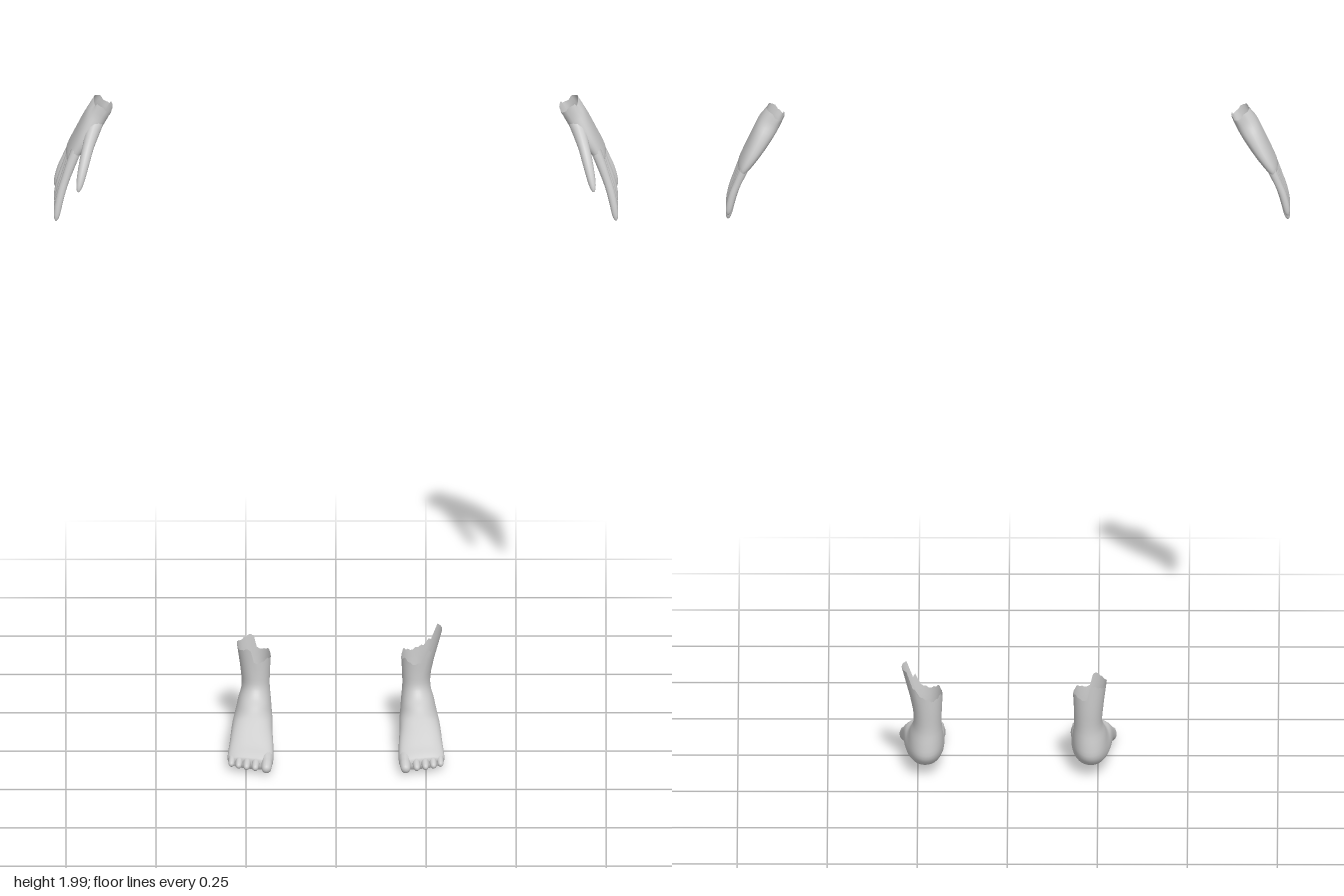
import * as THREE from 'three';

const V = (x, y, z) => new THREE.Vector3(x, y, z);
const skin = new THREE.MeshStandardMaterial({ color: 0xcccccc, side: THREE.DoubleSide });

// Rounded cross-section: exponent below 1 makes it boxier
function ring(centre, u, v, n, power = 1) {
  const round = (t) => Math.sign(t) * Math.pow(Math.abs(t), power);
  return Array.from({ length: n }, (_, j) => {
    const a = (j / n) * Math.PI * 2;
    return centre.clone().addScaledVector(u, round(Math.cos(a))).addScaledVector(v, round(Math.sin(a)));
  });
}

// Smooth skin over matching rings, open at the start and closed at the end
function loft(name, rings, side, sub = 3) {
  const n = rings[0].length;
  const rows = (rings.length - 1) * sub + 1;
  const columns = rings[0].map((_, j) => new THREE.CatmullRomCurve3(rings.map((r) => r[j])));
  const pts = [];
  for (let i = 0; i < rows; i++) for (let j = 0; j < n; j++) pts.push(columns[j].getPoint(i / (rows - 1)));
  const end = V(0, 0, 0);
  pts.slice(-n).forEach((p) => end.addScaledVector(p, 1 / n));
  pts.push(end);
  pts.forEach((p) => { p.x *= side; });

  const faces = [];
  for (let j = 0; j < n; j++) {
    const k = (j + 1) % n;
    for (let i = 0; i < rows - 1; i++) {
      const a = i * n + j, b = i * n + k;
      faces.push([a, b, a + n], [b, b + n, a + n]);
    }
    faces.push([(rows - 1) * n + j, (rows - 1) * n + k, pts.length - 1]);
  }
  // Turn the faces outward, whichever way the rings run
  const mid = pts[0].clone().add(end).multiplyScalar(0.5);
  let volume = 0;
  for (const [a, b, c] of faces) {
    const [p, q, r] = [a, b, c].map((i) => pts[i].clone().sub(mid));
    volume += p.dot(q.cross(r));
  }
  if (volume < 0) faces.forEach((f) => f.reverse());

  const geometry = new THREE.BufferGeometry().setFromPoints(pts);
  geometry.setIndex(faces.flat());
  geometry.computeVertexNormals();
  const mesh = new THREE.Mesh(geometry, skin);
  mesh.name = name;
  return mesh;
}

// Tapered finger or toe with a rounded tip
function digit(name, path, r0, r1, side, flat = 1) {
  const curve = new THREE.CatmullRomCurve3(path);
  const rings = [[0, 1], [0.25, 1], [0.45, 0.95], [0.6, 1], [0.8, 1], [0.92, 0.85], [0.98, 0.5], [1, 0.12]].map(([t, k]) => {
    const dir = curve.getTangent(t);
    const across = V(1, 0, 0).addScaledVector(dir, -dir.x).normalize();
    const r = THREE.MathUtils.lerp(r0, r1, t) * k;
    const other = dir.clone().cross(across).multiplyScalar(r * flat);
    return ring(curve.getPoint(t), across.multiplyScalar(r), other, 12);
  });
  return loft(name, rings, side, 2);
}

function hand(side) {
  const group = new THREE.Group();
  group.name = side > 0 ? 'leftHand' : 'rightHand';

  // Palm sections from wrist to knuckles: x, y, z, half width, half thickness
  const sections = [
    [0.646, 1.98, -0.038, 0.037, 0.029], [0.662, 1.953, -0.04, 0.04, 0.031],
    [0.677, 1.925, -0.043, 0.049, 0.03], [0.699, 1.885, -0.046, 0.058, 0.026],
    [0.72, 1.85, -0.05, 0.06, 0.021], [0.736, 1.823, -0.051, 0.057, 0.015],
    [0.741, 1.812, -0.051, 0.05, 0.006],
  ];
  const slope = V(0.9, 0.44, 0);
  const rings = sections.map(([x, y, z, w, t]) =>
    ring(V(x, y, z), V(0, 0, w), slope.clone().multiplyScalar(t), 28, 0.85));
  // Ragged wrist edge
  rings[0].forEach((p, j) => { p.y += [0.004, 0.004, -0.006, -0.004, 0.006][Math.floor(j / 2) % 5]; });
  group.add(loft('palm', rings, side));

  // Four fingers: name, knuckle z, tip z, tip y, base radius
  [['indexFinger', -0.006, 0.036, 1.655, 0.0145], ['middleFinger', -0.034, -0.017, 1.652, 0.0145],
    ['ringFinger', -0.064, -0.062, 1.666, 0.014], ['littleFinger', -0.094, -0.104, 1.695, 0.012],
  ].forEach(([name, z0, z1, tip, r]) => {
    const at = (t, x) => V(x, THREE.MathUtils.lerp(1.85, tip, t), THREE.MathUtils.lerp(z0, z1, t));
    group.add(digit(name, [at(0, 0.722), at(0.3, 0.744), at(0.65, 0.766), at(1, 0.778)], r, 0.0095, side));
  });

  // Thumb, rooted in the side of the palm
  group.add(digit('thumb', [V(0.668, 1.93, -0.018), V(0.683, 1.89, 0.01), V(0.7, 1.835, 0.052),
    V(0.716, 1.768, 0.09)], 0.022, 0.01, side));
  return group;
}

function foot(side) {
  const group = new THREE.Group();
  group.name = side > 0 ? 'leftFoot' : 'rightFoot';

  // Sections from shin to toes: front z, y; back z, y; centre x, half width
  const sections = [
    [-0.062, 0.25, -0.168, 0.25, 0.228, 0.047], [-0.063, 0.21, -0.166, 0.21, 0.224, 0.041],
    [-0.06, 0.175, -0.163, 0.15, 0.223, 0.039], [-0.043, 0.152, -0.168, 0.105, 0.226, 0.045],
    [-0.02, 0.138, -0.168, 0.07, 0.228, 0.049], [-0.003, 0.127, -0.145, 0.045, 0.23, 0.053],
    [0.015, 0.117, -0.085, 0.042, 0.232, 0.056], [0.04, 0.102, -0.02, 0.039, 0.234, 0.058],
    [0.07, 0.083, 0.04, 0.026, 0.235, 0.061], [0.095, 0.067, 0.08, 0.013, 0.237, 0.063],
    [0.115, 0.056, 0.106, 0.01, 0.238, 0.063], [0.13, 0.045, 0.128, 0.016, 0.238, 0.057],
  ];
  const rings = sections.map(([fz, fy, bz, by, x, w], i) => {
    const u = V(0, (fy - by) / 2, (fz - bz) / 2);
    const r = ring(V(x, (fy + by) / 2, (fz + bz) / 2), u, V(w, 0, 0), 40, i > 5 ? 0.75 : 0.95);
    // The toe line slopes back toward the little toe
    if (i > 7) r.forEach((p) => { p.z -= (p.x - 0.238) * 0.06 * (i - 7); });
    return r;
  });

  // Torn upper edge, highest on the outside of the leg
  rings[0].forEach((p, j) => {
    const out = Math.sin((j / 40) * Math.PI * 2);
    const step = [0, 0.008, 0, -0.006][Math.floor(j / 2) % 4];
    if (side > 0) {
      const rise = out > 0.62 ? 0.08 : out > 0.35 ? 0.03 : 0;
      p.y += rise + (rise > 0.05 ? 0 : step);
      p.x += rise * 0.25;
    } else {
      p.y += (out > 0.0 ? 0.035 : 0.002) + step * 0.7;
    }
  });
  group.add(loft('footAndAnkle', rings, side));

  // Five toes from big to little: x, base z, tip z, radius
  [[0.192, 0.1, 0.17, 0.018], [0.223, 0.1, 0.161, 0.0125], [0.247, 0.095, 0.155, 0.012],
    [0.269, 0.09, 0.146, 0.0115], [0.289, 0.085, 0.135, 0.011],
  ].forEach(([x, z0, z1, r], i) => {
    const path = [V(x, 0.04, z0), V(x, 0.037, (z0 + z1) / 2), V(x + 0.002, 0.028, z1)];
    group.add(digit('toe' + (i + 1), path, r, r * 0.72, side, 1.05));
  });
  return group;
}

export function createModel() {
  const model = new THREE.Group();
  model.name = 'handsAndFeet';
  for (const side of [1, -1]) model.add(hand(side), foot(side));
  return model;
}
